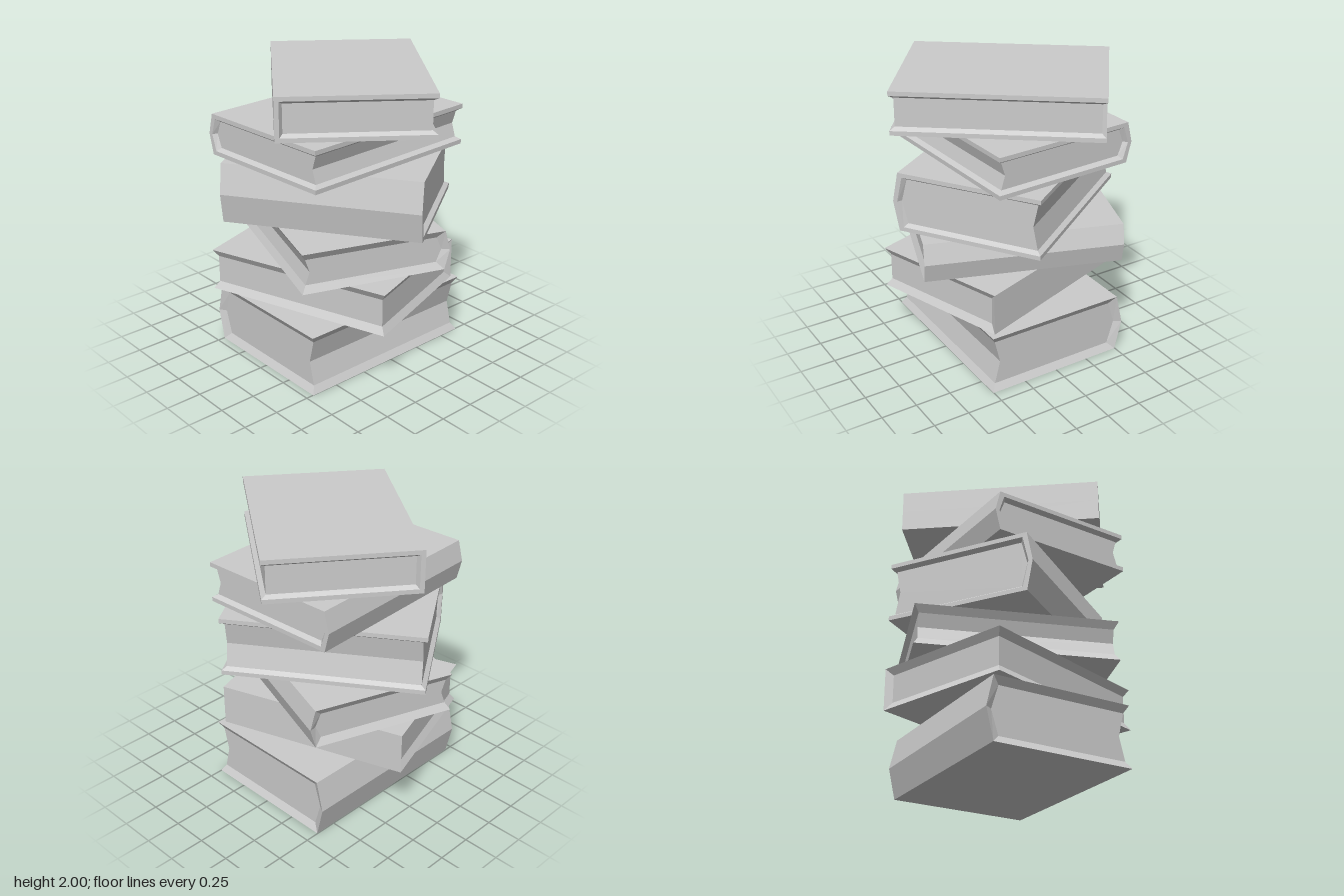
import * as THREE from 'three';

const LENGTH = 1.35, WIDTH = 1.0, INSET = 0.03, BOARD = 0.05, WALL = 0.05;

// y0, y1: bottom and top; x, z: centre; turn: rotation; bulge: rounded spine depth; lip: square cover edge
const BOOKS = [
  { y0: 0, y1: 0.425, x: 0.003, z: 0.022, turn: 0, bulge: 0.05, lip: 0 },
  { y0: 0.427, y1: 0.72, x: -0.015, z: 0.075, turn: -1.248, bulge: 0, lip: 0 },
  { y0: 0.722, y1: 1.0, x: -0.035, z: 0.026, turn: -1.907, bulge: 0.037, lip: 0 },
  { y0: 1.002, y1: 1.42, x: -0.034, z: -0.006, turn: 2.167, bulge: 0.04, lip: 0.03 },
  { y0: 1.422, y1: 1.705, x: -0.007, z: 0.03, turn: 0.05, bulge: 0.036, lip: 0.03 },
  { y0: 1.708, y1: 2.0, x: 0.026, z: -0.022, turn: 0.927, bulge: 0, lip: 0.03 },
];

const material = new THREE.MeshStandardMaterial({ color: 0xcccccc, flatShading: true });

// C-shaped cover section: fore edge, round the spine (-x), back to the fore edge
function section(h, bulge, fore, board, wall) {
  const f = WIDTH / 2 - fore, s = -WIDTH / 2 + wall;
  return [[f, h - board], [s, h - board], [s - bulge, h / 2], [s, board], [f, board]];
}

// Wrap-around cover with edges sloping in to the page block
function coverGeometry(h, bulge, lip) {
  const half = LENGTH / 2;
  const at = (pts, z) => pts.map(([x, y]) => [x, y, z]);
  const layers = [[section(h, bulge, INSET, BOARD, WALL), half - INSET]];
  if (lip) layers.push([section(h, bulge, 0, lip, lip), half]);
  layers.push([section(h, bulge, 0, 0, 0), half]);
  const rings = [
    ...layers.map(([p, z]) => at(p, z)),
    ...layers.slice().reverse().map(([p, z]) => at(p, -z)),
  ];

  const pos = [];
  const quad = (a, b, c, d) => pos.push(...a, ...b, ...c, ...a, ...c, ...d);
  const n = rings.length;
  for (let i = 0; i < n - 1; i++) {
    for (let j = 0; j < 4; j++) {
      quad(rings[i][j], rings[i + 1][j], rings[i + 1][j + 1], rings[i][j + 1]);
    }
  }
  // fore edges of the two boards
  for (let i = 0; i < n / 2 - 1; i++) {
    const edge = (k) => [rings[i][k], rings[i + 1][k], rings[n - 2 - i][k], rings[n - 1 - i][k]];
    quad(...edge(0).reverse());
    quad(...edge(4));
  }
  const geo = new THREE.BufferGeometry();
  geo.setAttribute('position', new THREE.Float32BufferAttribute(pos, 3));
  geo.computeVertexNormals();
  return geo;
}

// Page block, hollowed at the fore edge when the spine is rounded
function pagesGeometry(h, bulge) {
  const pts = section(h, bulge, INSET, BOARD, WALL);
  pts.push([WIDTH / 2 - INSET - bulge * 0.8, h / 2]);
  const shape = new THREE.Shape(pts.map(([x, y]) => new THREE.Vector2(x, y)));
  const depth = LENGTH - 2 * INSET;
  return new THREE.ExtrudeGeometry(shape, { depth, bevelEnabled: false }).translate(0, 0, -depth / 2);
}

export function createModel() {
  const stack = new THREE.Group();
  stack.name = 'bookStack';
  BOOKS.forEach(({ y0, y1, x, z, turn, bulge, lip }, i) => {
    const book = new THREE.Group();
    book.name = `book${i + 1}`;
    const cover = new THREE.Mesh(coverGeometry(y1 - y0, bulge, lip), material);
    cover.name = 'cover';
    const pages = new THREE.Mesh(pagesGeometry(y1 - y0, bulge), material);
    pages.name = 'pages';
    book.add(cover, pages);
    book.position.set(x, y0, z);
    book.rotation.y = turn;
    stack.add(book);
  });
  return stack;
}
